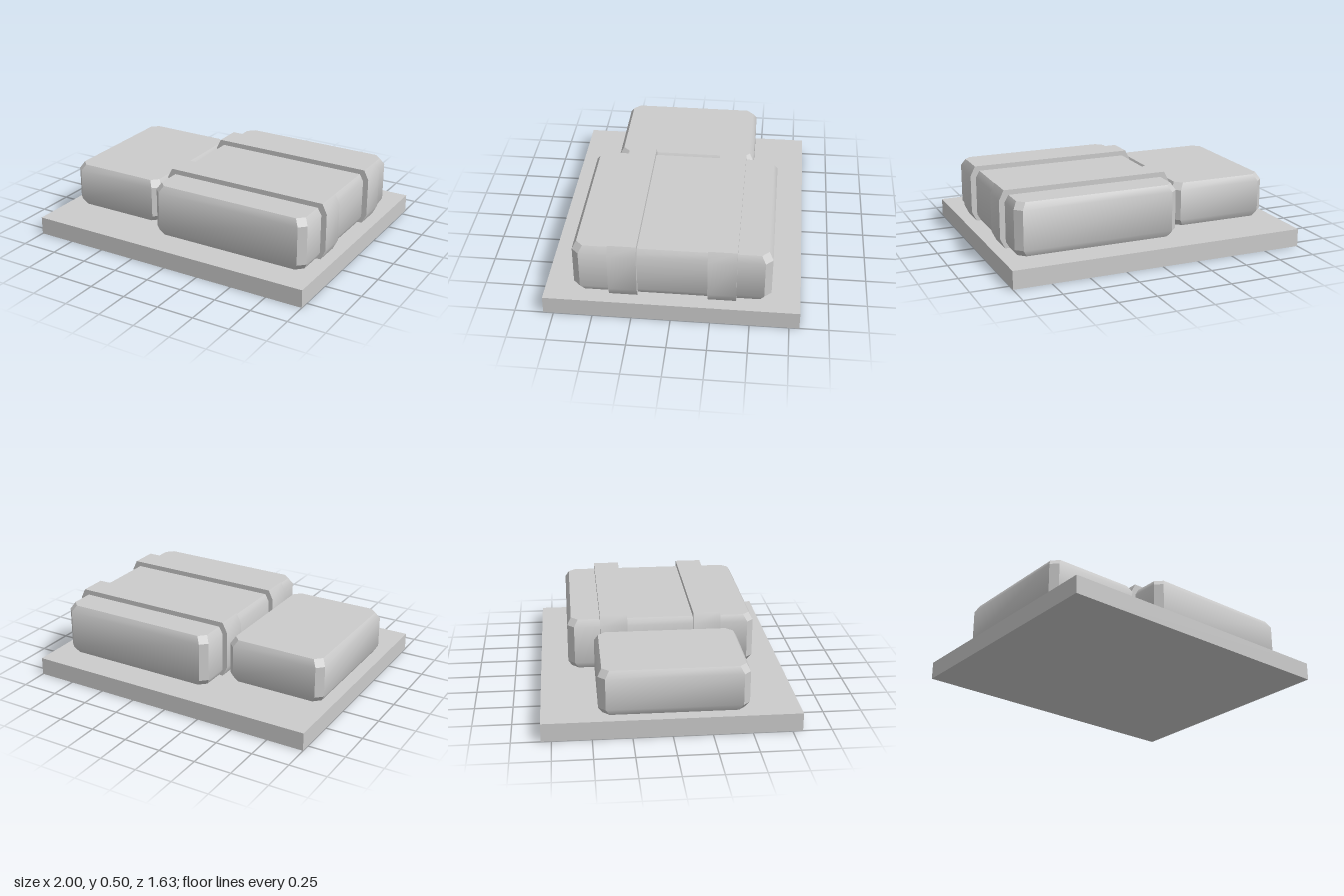
import * as THREE from 'three';
import { toCreasedNormals } from 'three/addons/utils/BufferGeometryUtils.js';

const CREASE = 0.6;
const BASE_TOP = 0.12;
const material = new THREE.MeshStandardMaterial({ color: 0xcccccc });

function addMesh(group, geometry, name) {
  const mesh = new THREE.Mesh(geometry, material);
  mesh.name = name;
  group.add(mesh);
  return mesh;
}

// Box with cut vertical corners, narrowing slightly at its top and bottom
function chamferedBlock(width, height, depth, corner = 0.045, inset = 0.026, drop = 0.045) {
  const rings = [[0, inset], [drop, 0], [height - drop, 0], [height, inset]];
  const positions = [];
  for (const [y, i] of rings) {
    const w = width / 2 - i, d = depth / 2 - i, c = corner;
    const outline = [
      [w, d - c], [w - c, d], [-w + c, d], [-w, d - c],
      [-w, -d + c], [-w + c, -d], [w - c, -d], [w, -d + c],
    ];
    for (const [x, z] of outline) positions.push(x, y, z);
  }
  const index = [];
  for (let r = 0; r < 3; r++) {
    for (let k = 0; k < 8; k++) {
      const a = r * 8 + k, b = r * 8 + (k + 1) % 8;
      index.push(a, a + 8, b, b, a + 8, b + 8);
    }
  }
  // Flat caps
  for (let k = 1; k < 7; k++) {
    index.push(0, k, k + 1);
    index.push(24, 24 + k + 1, 24 + k);
  }
  const geometry = new THREE.BufferGeometry();
  geometry.setAttribute('position', new THREE.Float32BufferAttribute(positions, 3));
  geometry.setIndex(index);
  return toCreasedNormals(geometry, CREASE);
}

// Band running across the block, with its four long edges cut
function strapGeometry(width, height, depth, inset = 0.032, drop = 0.065) {
  const w = width / 2;
  const shape = new THREE.Shape([
    [-w + inset, 0], [w - inset, 0], [w, drop], [w, height - drop],
    [w - inset, height], [-w + inset, height], [-w, height - drop], [-w, drop],
  ].map(([x, y]) => new THREE.Vector2(x, y)));
  const geometry = new THREE.ExtrudeGeometry(shape, { depth, bevelEnabled: false });
  geometry.translate(0, 0, -depth / 2);
  return toCreasedNormals(geometry, CREASE);
}

export function createModel() {
  const model = new THREE.Group();
  model.name = 'strappedBlocksOnBase';

  // Base slab
  addMesh(model, new THREE.BoxGeometry(2, BASE_TOP, 1.63), 'base')
    .position.y = BASE_TOP / 2;

  // Low block on the right side
  addMesh(model, chamferedBlock(0.68, 0.298, 0.95), 'smallBlock')
    .position.set(-0.598, BASE_TOP, 0.018);

  // Taller block on the left side
  addMesh(model, chamferedBlock(1.106, 0.35, 1.26), 'largeBlock')
    .position.set(0.356, BASE_TOP, 0);

  // Two straps over the taller block
  for (const [name, z] of [['frontStrap', 0.307], ['backStrap', -0.32]]) {
    addMesh(model, strapGeometry(1.176, 0.383, 0.182), name)
      .position.set(0.358, BASE_TOP, z);
  }
  return model;
}
